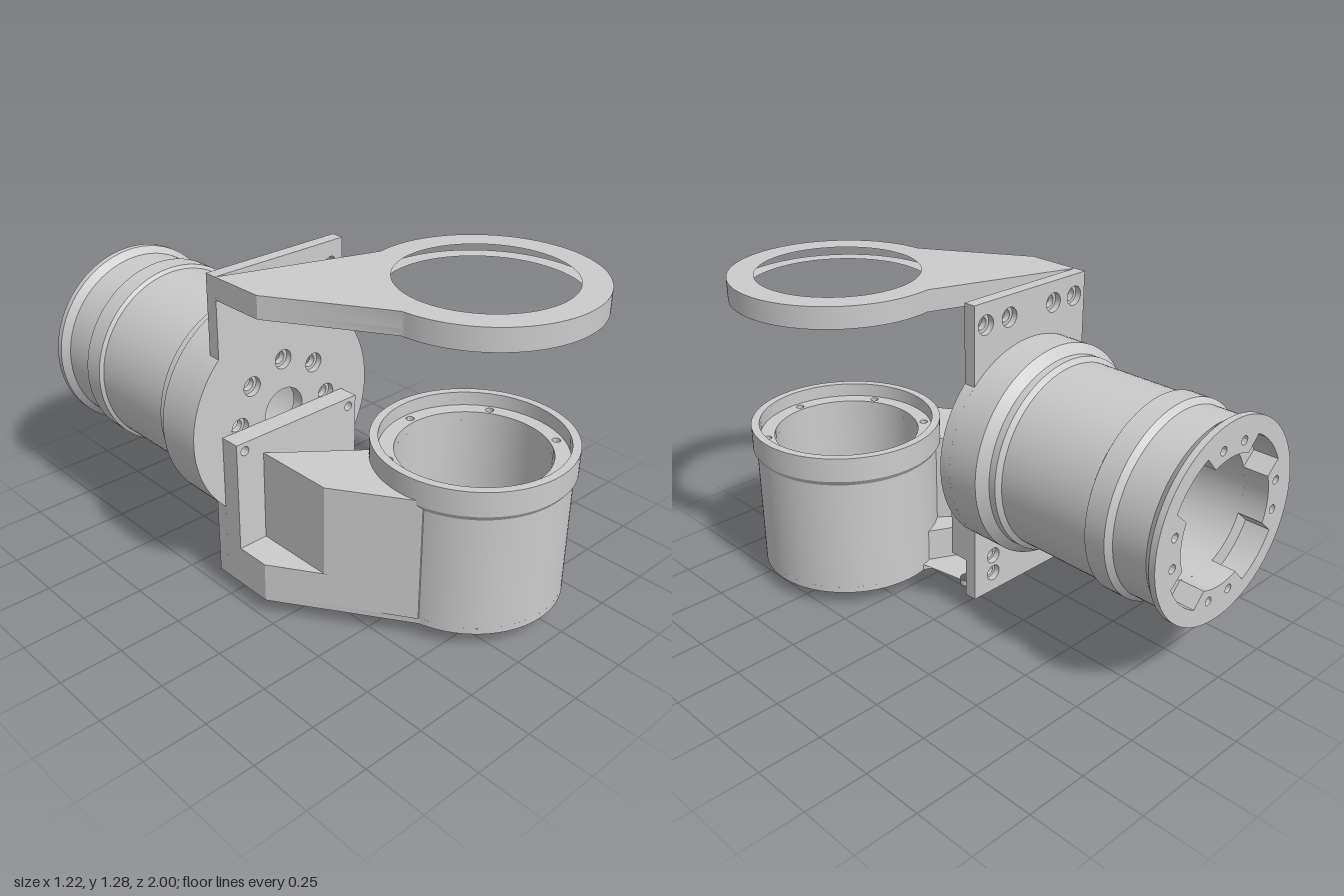
import * as THREE from 'three';
import { toCreasedNormals } from 'three/addons/utils/BufferGeometryUtils.js';

const SX = -0.19, SY = 0.675;   // axis of the horizontal barrel (runs along z)
const CX = 0.19, CZ = 0.58;     // axis of the upright cup and ring (runs along y)
const L = -0.4825, R = 0.1025;  // left and right edges of the bracket
const BACK = -0.03;             // front face of the mounting plate

export function createModel() {
  const model = new THREE.Group();
  const material = new THREE.MeshStandardMaterial({ color: 0xcccccc });

  const add = (name, geo) => {
    const mesh = new THREE.Mesh(toCreasedNormals(geo, 0.5), material);
    mesh.name = name;
    model.add(mesh);
    return mesh;
  };
  const circle = (x, y, r) => new THREE.Path().absarc(x, y, r, 0, Math.PI * 2, true);
  const extrude = (shape, depth) =>
    new THREE.ExtrudeGeometry(shape, { depth, bevelEnabled: false, curveSegments: 64 });
  // Extrusion along z, between z0 and z1
  const wall = (name, shape, z0, z1) => add(name, extrude(shape, z1 - z0).translate(0, 0, z0));
  // Extrusion upward; the shape is drawn in (x, -z)
  const floor = (name, shape, y0, y1) =>
    add(name, extrude(shape, y1 - y0).rotateX(-Math.PI / 2).translate(0, y0, 0));
  const lathe = (pts) => new THREE.LatheGeometry(pts.map(([r, y]) => new THREE.Vector2(r, y)), 96);
  const polygon = (pts) => new THREE.Shape(pts.map(([x, y]) => new THREE.Vector2(x, y)));

  // Plan of the bracket: straight back, angled left side, arc around the upright axis
  const footprint = (r, a0, a1, clockwise, end) => {
    const s = new THREE.Shape();
    s.moveTo(R, -BACK);
    s.absarc(CX, -CZ, r, a0, a1, clockwise);
    if (end) s.lineTo(end[0], end[1]);
    s.lineTo(L, -0.19);
    s.lineTo(L, -BACK);
    s.closePath();
    return s;
  };

  // Mounting plate: rectangle merged with a disc, in two layers for stepped holes
  const plateLayer = (name, z0, z1, discHole, edgeHole) => {
    const s = new THREE.Shape();
    s.moveTo(L, 0.065);
    s.lineTo(R, 0.065);
    s.absarc(SX, SY, 0.42, -0.8, 0.8, false);
    s.lineTo(R, 1.285);
    s.lineTo(L, 1.285);
    s.absarc(SX, SY, 0.42, Math.PI - 0.8, Math.PI + 0.8, false);
    s.closePath();
    s.holes.push(circle(SX, SY, 0.09));
    for (let i = 0; i < 8; i++) {
      const a = i * Math.PI / 4;
      s.holes.push(circle(SX + 0.21 * Math.cos(a), SY + 0.21 * Math.sin(a), discHole));
    }
    for (const x of [-0.425, -0.31, -0.075, 0.045]) s.holes.push(circle(x, 1.2, edgeHole));
    for (const x of [-0.38, 0])
      for (const y of [0.145, 0.225]) s.holes.push(circle(x, y, edgeHole * 0.85));
    wall(name, s, z0, z1);
  };
  plateLayer('mountingPlateFront', -0.055, BACK, 0.038, 0.025);
  plateLayer('mountingPlateBack', -0.08, -0.055, 0.025, 0.038);

  // Horizontal barrel with stepped outside and open bore
  add('barrel', lathe([
    [0.25, 0.08], [0.42, 0.08], [0.42, 0.215], [0.4, 0.235], [0.385, 0.25], [0.385, 0.28],
    [0.366, 0.295], [0.366, 0.69], [0.38, 0.7], [0.38, 0.785], [0.36, 0.805], [0.36, 0.945],
    [0.385, 0.975], [0.385, 1], [0.345, 1], [0.345, 0.9], [0.25, 0.9], [0.25, 0.08],
  ]).rotateX(-Math.PI / 2).translate(SX, SY, 0));

  // Barrel end ring with four pockets and screw lugs between them
  const endRing = new THREE.Shape().absarc(SX, SY, 0.345, 0, Math.PI * 2, false);
  const pockets = new THREE.Path();
  for (let i = 0; i < 4; i++) {
    const a = i * Math.PI / 2;
    pockets.absarc(SX, SY, 0.25, a - 0.38, a + 0.38, false);
    pockets.absarc(SX, SY, 0.32, a + 0.46, a + Math.PI / 2 - 0.46, false);
  }
  pockets.closePath();
  endRing.holes.push(pockets);
  for (let i = 0; i < 4; i++)
    for (const d of [-0.2, 0.2]) {
      const a = i * Math.PI / 2 + d;
      endRing.holes.push(circle(SX + 0.295 * Math.cos(a), SY + 0.295 * Math.sin(a), 0.017));
    }
  wall('barrelEndRing', endRing, -1, -0.9);

  // Top plate with its ring; the hole is wider underneath
  for (const [name, hole, y0, y1] of [
    ['topRingLower', 0.356, 1.2, 1.225], ['topRingUpper', 0.318, 1.225, 1.285]]) {
    const s = footprint(0.42, 1.78, -3.1, true);
    s.holes.push(circle(CX, -CZ, hole));
    floor(name, s, y0, y1);
  }

  // Bottom plate with screw recesses
  const bottom = footprint(0.365, 1.813, -2.893, true);
  for (const deg of [2, 62, 122, 242, 302]) {
    const a = deg * Math.PI / 180;
    bottom.holes.push(circle(CX + 0.31 * Math.cos(a), -CZ - 0.31 * Math.sin(a), 0.028));
  }
  for (const [x, z] of [[0.04, 0.03], [-0.41, 0.03], [-0.38, 0.13]])
    bottom.holes.push(circle(x, -z, 0.028));
  floor('bottomPlate', bottom, 0.065, 0.09);

  // Lower block, and the narrower neck that leaves a pocket on each side
  const tangent = [-0.17, -0.67];
  floor('lowerBlock', footprint(0.33, 1.84, 3.39, false, tangent), 0.09, 0.225);
  const neck = new THREE.Shape();
  neck.moveTo(-0.02, -0.05);
  neck.absarc(CX, -CZ, 0.33, 2.26, 3.39, false);
  neck.lineTo(tangent[0], tangent[1]);
  neck.lineTo(-0.36, -0.378);
  neck.lineTo(-0.36, -0.05);
  neck.closePath();
  floor('neck', neck, 0.225, 0.59);

  // Upright bar against the mounting plate
  const bar = polygon([[L, 0.225], [R, 0.225], [R, 0.665], [L, 0.665]]);
  for (const x of [-0.445, 0.065]) bar.holes.push(circle(x, 0.63, 0.018));
  wall('backBar', bar, BACK, 0.05);

  // Upright cup with a rim, an inner shelf and a closed floor
  add('cup', lathe([
    [0.365, 0.09], [0.365, 0.55], [0.38, 0.572], [0.38, 0.67], [0.348, 0.67],
    [0.348, 0.58], [0.29, 0.58], [0.29, 0.12], [0, 0.12],
  ]).translate(CX, 0, CZ));
  const shelf = new THREE.Shape().absarc(CX, -CZ, 0.348, 0, Math.PI * 2, false);
  shelf.holes.push(circle(CX, -CZ, 0.29));
  for (let i = 0; i < 6; i++) {
    const a = (i + 0.5) * Math.PI / 3;
    shelf.holes.push(circle(CX + 0.319 * Math.cos(a), -CZ + 0.319 * Math.sin(a), 0.016));
  }
  floor('cupShelf', shelf, 0.58, 0.615);

  // Round boss under the cup
  add('bottomBoss', new THREE.CylinderGeometry(0.205, 0.205, 0.065, 72).translate(CX, 0.0325, CZ));

  return model;
}
